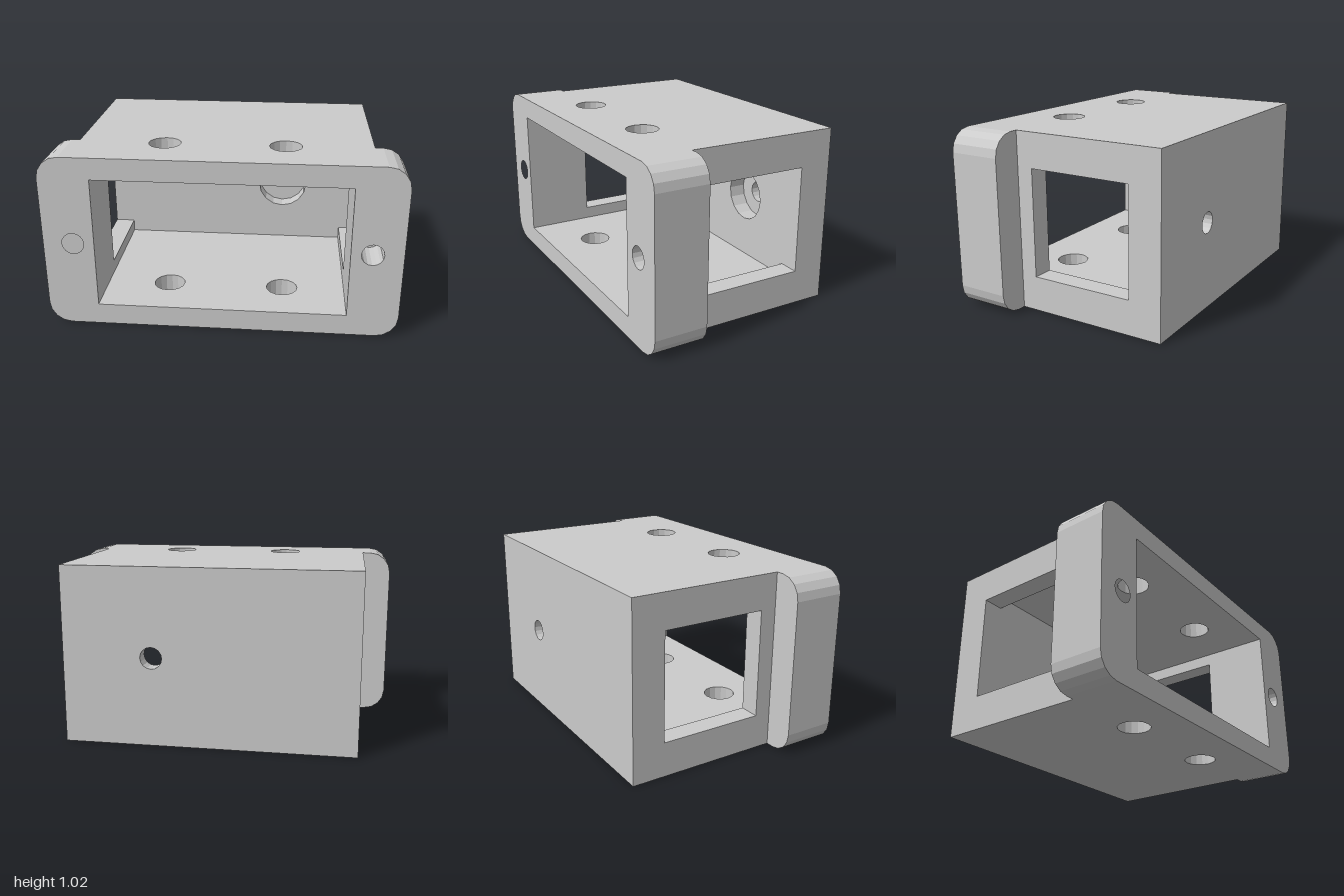
import * as THREE from 'three';

const H = 1.02, OUT = 0.83, IN = 0.71, FLANGE = 1, R = 0.125;
const FRONT = 0.6, BACK = -0.6, CAVITY = -0.41, STEP = 0.295;
const FLOOR = 0.125, CEIL = H - FLOOR, MID = H / 2;

const material = new THREE.MeshStandardMaterial({ color: 0xcccccc });

const rect = (x0, y0, x1, y1, Type = THREE.Shape) => new Type([
  new THREE.Vector2(x0, y0), new THREE.Vector2(x1, y0),
  new THREE.Vector2(x1, y1), new THREE.Vector2(x0, y1)]);

// circular hole as a 16-sided outline
function hole(x, y, r) {
  const pts = [];
  for (let i = 0; i < 16; i++) {
    const a = -i * Math.PI / 8;
    pts.push(new THREE.Vector2(x + r * Math.cos(a), y + r * Math.sin(a)));
  }
  return new THREE.Path(pts);
}

// extrude an outline with holes from z0 to z1
function slab(shape, holes, z0, z1) {
  shape.holes.push(...holes);
  const g = new THREE.ExtrudeGeometry(shape, { depth: z1 - z0, bevelEnabled: false, curveSegments: 4 });
  return g.translate(0, 0, z0);
}

// half flange with rounded outer corners
function earShape(s) {
  const pts = [new THREE.Vector2(s * IN, 0)];
  for (const [cy, start] of [[R, -Math.PI / 2], [H - R, 0]]) {
    for (let i = 0; i <= 4; i++) {
      const a = start + i * Math.PI / 8;
      pts.push(new THREE.Vector2(s * (FLANGE - R + R * Math.cos(a)), cy + R * Math.sin(a)));
    }
  }
  pts.push(new THREE.Vector2(s * IN, H));
  return new THREE.Shape(pts);
}

export function createModel() {
  const model = new THREE.Group();
  const add = (name, geometry) => {
    const mesh = new THREE.Mesh(geometry, material);
    mesh.name = name;
    model.add(mesh);
  };

  // back wall: small hole outside, wide counterbore inside
  add('backWall', slab(rect(-OUT, 0, OUT, H), [hole(0.32, MID, 0.0625)], BACK, -0.51));
  add('backWallCounterbore', slab(rect(-OUT, 0, OUT, H), [hole(0.32, MID, 0.155)], -0.51, CAVITY));

  // top and bottom panels, each with two vertical holes
  for (const [name, top] of [['topPanel', H], ['bottomPanel', FLOOR]]) {
    const g = slab(rect(-IN, CAVITY, IN, FRONT), [hole(-0.34, 0.31, 0.092), hole(0.34, 0.31, 0.092)], 0, FLOOR);
    add(name, g.rotateX(Math.PI / 2).translate(0, top, 0));
  }

  for (const [side, s] of [['left', 1], ['right', -1]]) {
    // side wall: the window reaches back to the rear wall
    const frame = new THREE.Shape([
      [CAVITY, 0], [STEP, 0], [STEP, H], [CAVITY, H],
      [CAVITY, 0.82], [0.2, 0.82], [0.2, 0.2], [CAVITY, 0.2],
    ].map(p => new THREE.Vector2(...p)));
    const wall = slab(frame, [], 0, OUT - IN).rotateY(-Math.PI / 2);
    add(side + 'Wall', wall.translate(s > 0 ? OUT : -IN, 0, 0));

    // mounting ear with a blind screw hole
    add(side + 'EarBack', slab(earShape(s), [], STEP, 0.38));
    add(side + 'EarFront', slab(earShape(s), [hole(s * OUT, MID, 0.0625)], 0.38, FRONT));
  }
  return model;
}
